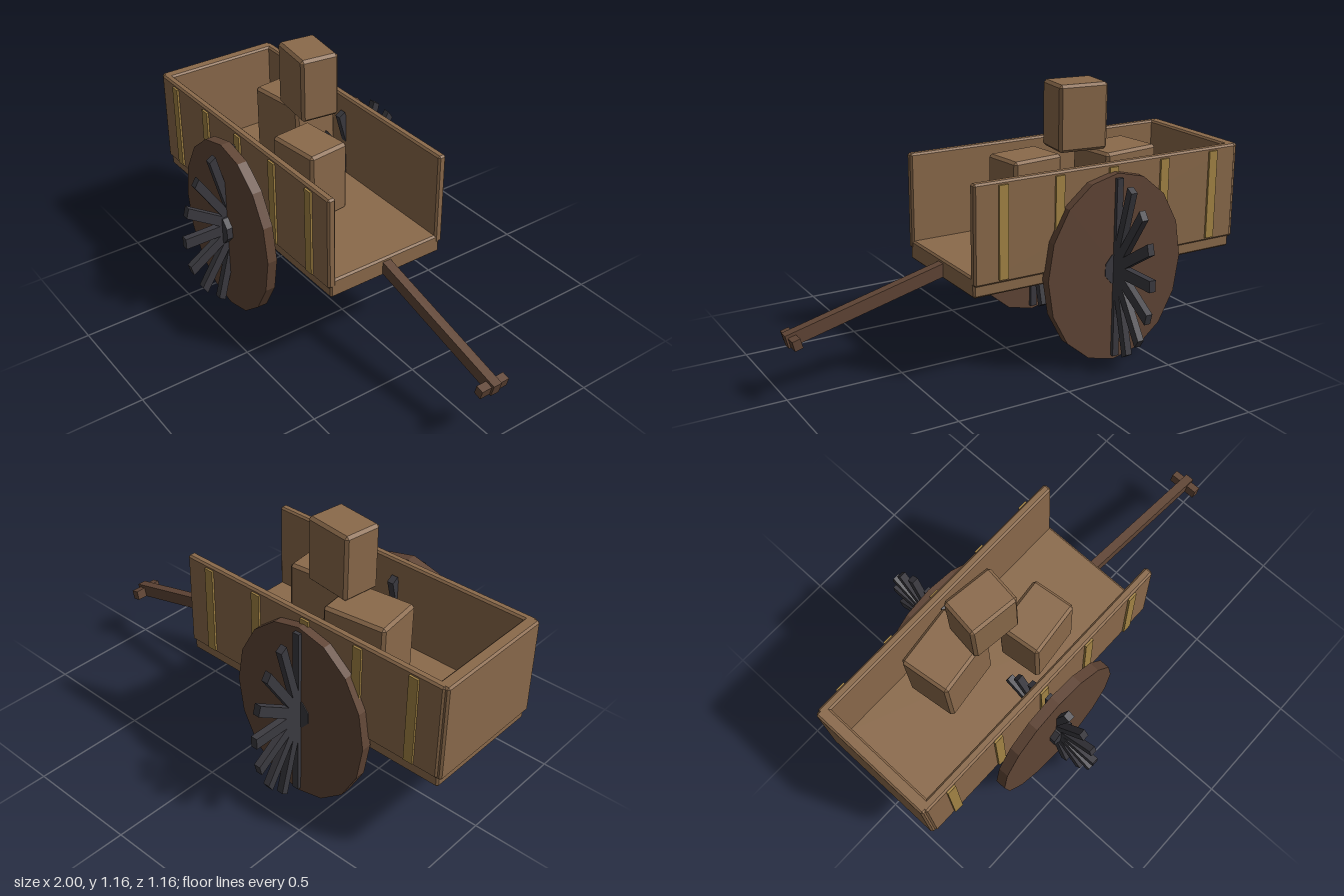
import * as THREE from 'three';
import { ConvexGeometry } from 'three/addons/geometries/ConvexGeometry.js';

const material = (name, color) => {
  const m = new THREE.MeshStandardMaterial({ color, flatShading: true });
  m.name = name;
  return m;
};

// Box with chamfered edges
function chamferBox(w, h, d, c) {
  const pts = [];
  for (const x of [-1, 1]) for (const y of [-1, 1]) for (const z of [-1, 1])
    for (let a = 0; a < 3; a++)
      pts.push(new THREE.Vector3(
        x * (w / 2 - (a === 0 ? 0 : c)),
        y * (h / 2 - (a === 1 ? 0 : c)),
        z * (d / 2 - (a === 2 ? 0 : c))));
  return new ConvexGeometry(pts);
}

export function createModel() {
  const wood = material('plank wood', 0x8b6a4b);
  const darkWood = material('dark wood', 0x614636);
  const iron = material('iron', 0x3b3a40);
  const brass = material('brass', 0xa58545);
  const cart = new THREE.Group();
  cart.name = 'cart';

  const add = (parent, name, geometry, mat, x = 0, y = 0, z = 0) => {
    const mesh = new THREE.Mesh(geometry, mat);
    mesh.name = name;
    mesh.position.set(x, y, z);
    parent.add(mesh);
    return mesh;
  };
  // Chamfered box from its minimum and maximum corners
  const plank = (name, a, b, c = 0.008) => add(cart, name,
    chamferBox(b[0] - a[0], b[1] - a[1], b[2] - a[2], c), wood,
    (a[0] + b[0]) / 2, (a[1] + b[1]) / 2, (a[2] + b[2]) / 2);

  // Cart bed, open at the tongue end
  plank('floor', [-0.985, 0.385, -0.28], [0.31, 0.47, 0.28]);
  plank('backPanel', [-1, 0.43, -0.285], [-0.945, 0.855, 0.285]);
  plank('leftSide', [-0.985, 0.435, 0.255], [0.312, 0.855, 0.292]);
  plank('rightSide', [-0.985, 0.435, -0.292], [0.312, 0.855, -0.255]);

  // Upright straps on both sides
  for (const side of [-1, 1])
    for (let i = 0; i < 5; i++)
      add(cart, 'strap', new THREE.BoxGeometry(0.042, 0.39, 0.018), brass,
        -0.857 + i * 0.26, 0.645, side * 0.292);

  // Wheels: oval discs, with the spokes fanned out across the disc plane
  for (const z of [0.33, -0.33]) {
    const wheel = new THREE.Group();
    wheel.name = 'wheel';
    wheel.position.set(-0.337, 0.412, z);
    cart.add(wheel);

    const disc = new THREE.CylinderGeometry(0.41, 0.41, 0.045, 16);
    disc.rotateX(Math.PI / 2).scale(0.81, 1, 1);
    add(wheel, 'wheelDisc', disc, darkWood, 0, 0, 0.0225);

    const hub = new THREE.CylinderGeometry(0.068, 0.068, 0.075, 8);
    hub.rotateY(Math.PI / 8).rotateX(Math.PI / 2).scale(0.86, 1, 1);
    add(wheel, 'hub', hub, iron, 0, 0, 0.0345);

    for (let i = 0; i < 8; i++) {
      const spoke = new THREE.BoxGeometry(0.03, 0.78, 0.05);
      spoke.rotateX(i * Math.PI / 8).scale(1, 1, 0.64);
      add(wheel, 'spokePair', spoke, iron);
    }
  }

  // Sloping tongue with a cross handle
  const tongue = new THREE.Group();
  tongue.name = 'tongue';
  tongue.position.set(0.992, 0.254, 0);
  tongue.rotation.z = -0.245;
  cart.add(tongue);
  add(tongue, 'shaft', new THREE.BoxGeometry(0.72, 0.056, 0.04), darkWood, -0.36, 0, 0);
  add(tongue, 'handle', new THREE.BoxGeometry(0.035, 0.042, 0.134), darkWood, -0.026, -0.006, 0);

  // Crates: size, centre, turn
  const crates = [
    [0.278, 0.355, 0.222, -0.482, 0.697, -0.094, 0.125],
    [0.25, 0.32, 0.195, -0.135, 0.68, 0.068, 0.11],
    [0.222, 0.284, 0.172, -0.308, 1.016, -0.048, -0.125],
  ];
  for (const [w, h, d, x, y, z, turn] of crates)
    add(cart, 'crate', chamferBox(w, h, d, 0.012), wood, x, y, z).rotation.y = turn;

  return cart;
}
